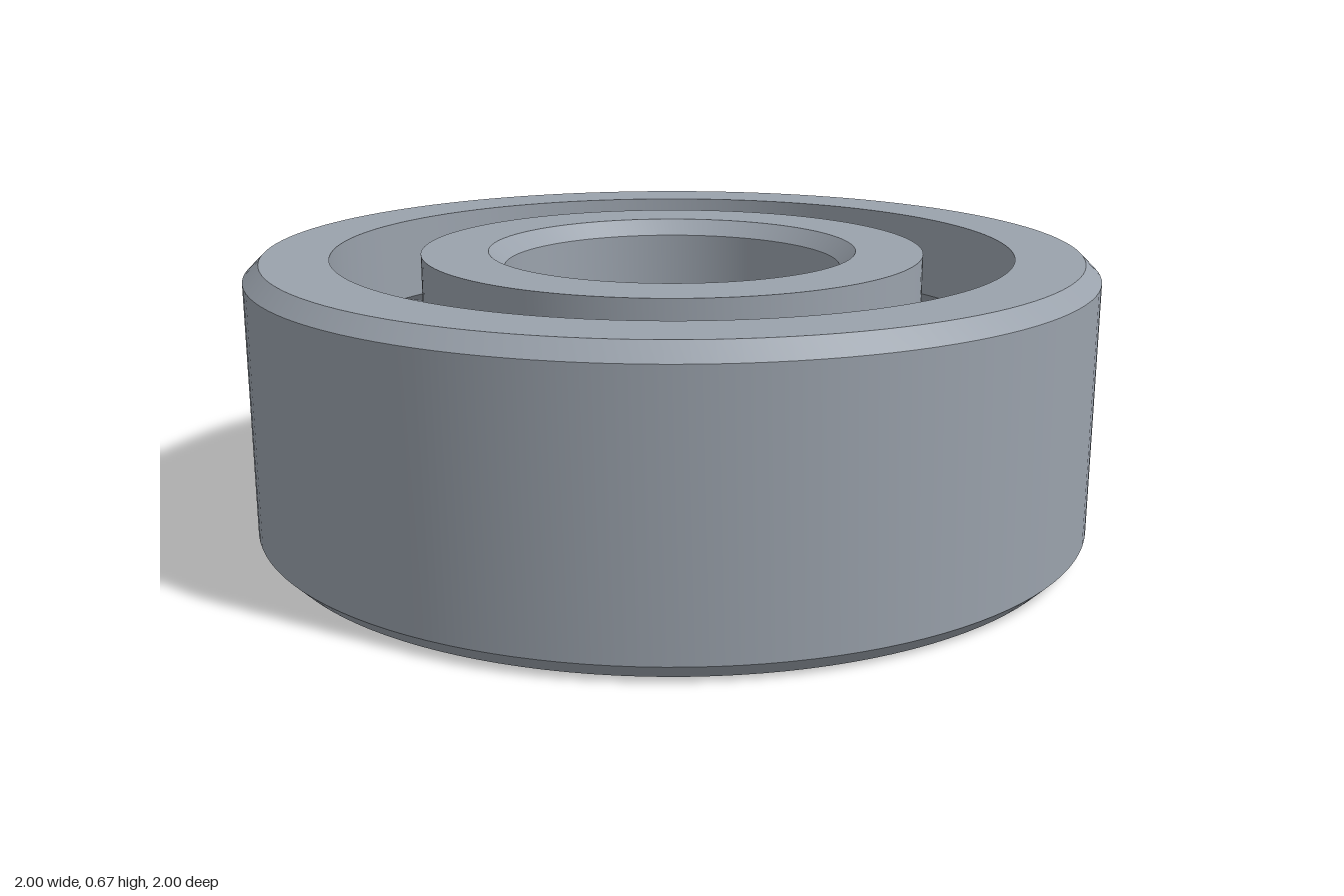
import * as THREE from 'three';
import { toCreasedNormals } from 'three/addons/utils/BufferGeometryUtils.js';

const HEIGHT = 0.667, MID = HEIGHT / 2;
const PITCH = 0.7, BALL = 0.165, GROOVE = 0.167, BALL_COUNT = 9;
const CHAMFER = 0.037;

const steel = new THREE.MeshStandardMaterial({ color: 0x9aa2ac });
steel.name = 'steel';

// Arc of the ball groove where it cuts the wall at radius r, from bottom to top
function groove(r) {
  const half = Math.acos(Math.abs(r - PITCH) / GROOVE);
  const side = Math.sign(r - PITCH);
  const points = [];
  for (let i = 0; i <= 12; i++) {
    const a = -half + (2 * half * i) / 12;
    points.push([PITCH + side * GROOVE * Math.cos(a), MID + GROOVE * Math.sin(a)]);
  }
  return points;
}

// Revolve a closed profile that runs counter-clockwise in (radius, height)
function ring(name, profile) {
  const points = [...profile, profile[0]].map(([r, y]) => new THREE.Vector2(r, y));
  const geometry = toCreasedNormals(new THREE.LatheGeometry(points, 128), 0.5);
  const mesh = new THREE.Mesh(geometry, steel);
  mesh.name = name;
  return mesh;
}

export function createModel() {
  const model = new THREE.Group();
  model.name = 'ballBearing';

  // Outer ring: chamfered outside, grooved inside
  const wall = 0.805;
  model.add(ring('outerRing', [
    [wall, 0], [1 - CHAMFER, 0], [1, CHAMFER],
    [1, HEIGHT - CHAMFER], [1 - CHAMFER, HEIGHT], [wall, HEIGHT],
    ...groove(wall).reverse(),
  ]));

  // Inner ring: grooved outside, chamfered bore
  const hub = 0.595, bore = 0.4;
  model.add(ring('innerRing', [
    [bore + CHAMFER, 0], [hub, 0],
    ...groove(hub),
    [hub, HEIGHT], [bore + CHAMFER, HEIGHT],
    [bore, HEIGHT - CHAMFER], [bore, CHAMFER],
  ]));

  // Balls spaced evenly around the race
  const balls = new THREE.Group();
  balls.name = 'balls';
  const ballGeometry = new THREE.SphereGeometry(BALL, 48, 32);
  for (let i = 0; i < BALL_COUNT; i++) {
    const a = THREE.MathUtils.degToRad(11.8) + (i * 2 * Math.PI) / BALL_COUNT;
    const ball = new THREE.Mesh(ballGeometry, steel);
    ball.name = 'ball';
    ball.position.set(PITCH * Math.cos(a), MID, PITCH * Math.sin(a));
    balls.add(ball);
  }
  model.add(balls);
  return model;
}
